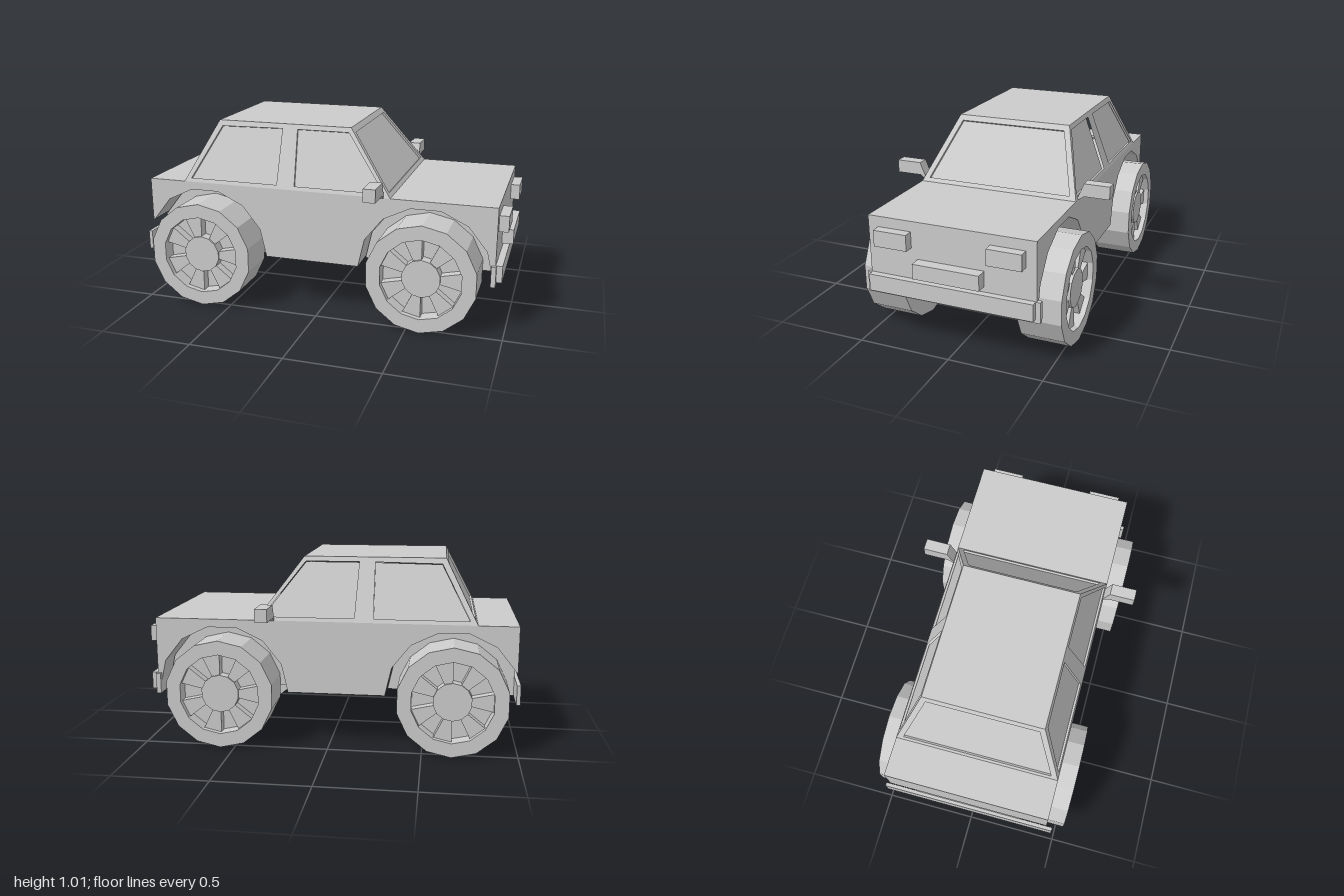
import * as THREE from 'three';

const grey = new THREE.MeshStandardMaterial({ color: 0xcccccc, flatShading: true });
grey.name = 'grey';

const WHEEL_X = [-0.655, 0.575], AXLE_Y = 0.295, HALF = 0.445, SIDES = 14;

function add(parent, name, geometry) {
  const mesh = new THREE.Mesh(geometry, grey);
  mesh.name = name;
  parent.add(mesh);
  return mesh;
}

// Box given by its limits on each axis
function block(parent, name, [x0, x1], [y0, y1], [z0, z1]) {
  const g = new THREE.BoxGeometry(x1 - x0, y1 - y0, z1 - z0);
  g.translate((x0 + x1) / 2, (y0 + y1) / 2, (z0 + z1) / 2);
  return add(parent, name, g);
}

const toShape = (pts) => new THREE.Shape(pts.map(([x, y]) => new THREE.Vector2(x, y)));

function prism(shape, z0, z1) {
  const g = new THREE.ExtrudeGeometry(shape, { depth: z1 - z0, bevelEnabled: false });
  return g.translate(0, 0, z0);
}

// Points of a 14-sided circle with a corner at angle `start`
function arc(r, start, count, cx = 0, cy = 0) {
  const pts = [];
  for (let i = 0; i <= count; i++) {
    const a = start + (i * Math.PI * 2) / SIDES;
    pts.push([cx + r * Math.cos(a), cy + r * Math.sin(a)]);
  }
  return pts;
}

function buildBody(car) {
  // Side profile with both wheel arches cut out of the lower edge
  const front = arc(0.355, 0, 7, WHEEL_X[1], AXLE_Y);
  const rear = arc(0.355, 0, 6, WHEEL_X[0], AXLE_Y);
  const profile = [[-0.985, 0.685], [-0.985, 0.44], ...rear.reverse(), ...front.reverse(),
    [0.94, AXLE_Y], [0.94, 0.685]];
  add(car, 'body', prism(toShape(profile), -HALF, HALF));

  // Liners behind the wheels
  for (const x of WHEEL_X) {
    const outer = arc(0.35, 0, 7, x, AXLE_Y);
    const inner = arc(0.25, 0, 7, x, AXLE_Y).reverse();
    if (x < 0) for (const p of outer) p[0] = Math.max(p[0], -0.98);
    for (const s of [-1, 1]) {
      add(car, 'archLiner', prism(toShape([...outer, ...inner]), s * 0.3 - 0.005, s * 0.3 + 0.005));
    }
  }
}

// Leaning cabin wall with recessed panes; points are [across, height]
function cabinWall(car, name, outline, panes, distance, lean, yaw) {
  const base = 0.685, rise = 0.33, inset = 0.012;
  const slant = Math.hypot(lean, rise) / rise;
  const flip = yaw === Math.PI ? -1 : 1;
  const local = (pts) => pts.map(([h, y]) => [h * flip, (y - base) * slant]);
  const wall = toShape(local(outline));
  const place = (g) => g.rotateX(-Math.atan2(lean, rise)).translate(0, base, distance).rotateY(yaw);
  for (const pane of panes) {
    const glass = toShape(local(pane));
    wall.holes.push(new THREE.Path(glass.getPoints()));
    add(car, name + 'Window', place(new THREE.ShapeGeometry(glass).translate(0, 0, -inset)));
  }
  add(car, name + 'Frame', place(prism(wall, -inset, 0)));
}

function buildCabin(car) {
  const side = [[-0.775, 0.685], [0.39, 0.685], [0.145, 1.015], [-0.605, 1.015]];
  const sidePanes = [
    [[-0.735, 0.705], [-0.235, 0.705], [-0.235, 0.99], [-0.585, 0.985]],
    [[-0.135, 0.705], [0.355, 0.705], [0.135, 0.99], [-0.15, 0.99]],
  ];
  const end = [[-HALF, 0.685], [HALF, 0.685], [0.32, 1.015], [-0.32, 1.015]];
  const endPane = [[-0.405, 0.705], [0.405, 0.705], [0.297, 0.988], [-0.297, 0.988]];
  for (const yaw of [0, Math.PI]) cabinWall(car, 'side', side, sidePanes, HALF, 0.125, yaw);
  cabinWall(car, 'windscreen', end, [endPane], 0.39, 0.245, Math.PI / 2);
  cabinWall(car, 'rear', end, [endPane], 0.775, 0.17, -Math.PI / 2);
  block(car, 'roof', [-0.605, 0.145], [1.007, 1.015], [-0.32, 0.32]);
}

function buildWheel() {
  const wheel = new THREE.Group();
  wheel.name = 'wheel';
  const start = Math.PI / 2;
  const drum = (r, z0, z1) =>
    new THREE.CylinderGeometry(r, r, z1 - z0, SIDES).rotateX(Math.PI / 2).translate(0, 0, (z0 + z1) / 2);

  // Tyre ring, closed at the back by a solid drum
  const ring = toShape(arc(0.293, start, SIDES - 1));
  ring.holes.push(new THREE.Path(toShape(arc(0.217, start, SIDES - 1)).getPoints()));
  add(wheel, 'tyre', prism(ring, 0.46, 0.54));
  add(wheel, 'wheelDrum', drum(0.293, 0.31, 0.46));
  add(wheel, 'hub', drum(0.102, 0.455, 0.52));

  // Seven wedge spokes between hub and tyre
  for (let i = 0; i < SIDES; i += 2) {
    const a = start + (i * Math.PI * 2) / SIDES;
    const wedge = [...arc(0.217, a, 1), ...arc(0.1, a, 1).reverse()];
    add(wheel, 'spoke', prism(toShape(wedge), 0.455, 0.51));
  }
  return wheel;
}

function buildFittings(car) {
  // Bumpers and lower rear panel
  block(car, 'frontBumper', [0.94, 0.975], [0.29, 0.38], [-0.44, 0.44]);
  block(car, 'frontBumperBacking', [0.92, 0.945], [0.27, 0.38], [-0.465, 0.465]);
  block(car, 'rearBumper', [-1, -0.98], [0.28, 0.385], [-0.48, 0.48]);
  block(car, 'rearValance', [-0.982, -0.93], [0.28, 0.44], [-0.3, 0.3]);
  block(car, 'numberPlate', [0.94, 1], [0.41, 0.49], [-0.177, 0.177]);

  // Door mirror: housing and tapered arm in one profile across the car
  const mirror = [[0.44, 0.69], [0.45, 0.685], [0.475, 0.705], [0.613, 0.705], [0.613, 0.775], [0.475, 0.775]];
  for (const s of [-1, 1]) {
    block(car, 'headlight', [0.94, 0.99], [0.545, 0.63], s > 0 ? [0.21, 0.39] : [-0.39, -0.21]);
    const g = prism(toShape(mirror.map(([z, y]) => [-s * z, y])), -0.0325, 0.0325);
    add(car, 'doorMirror', g.rotateY(Math.PI / 2).translate(0.3225, 0, 0));
  }
}

export function createModel() {
  const car = new THREE.Group();
  car.name = 'car';
  buildBody(car);
  buildCabin(car);
  buildFittings(car);
  for (const x of WHEEL_X) {
    for (const yaw of [0, Math.PI]) {
      const wheel = buildWheel();
      wheel.position.set(x, AXLE_Y, 0);
      wheel.rotation.y = yaw;
      car.add(wheel);
    }
  }
  return car;
}
